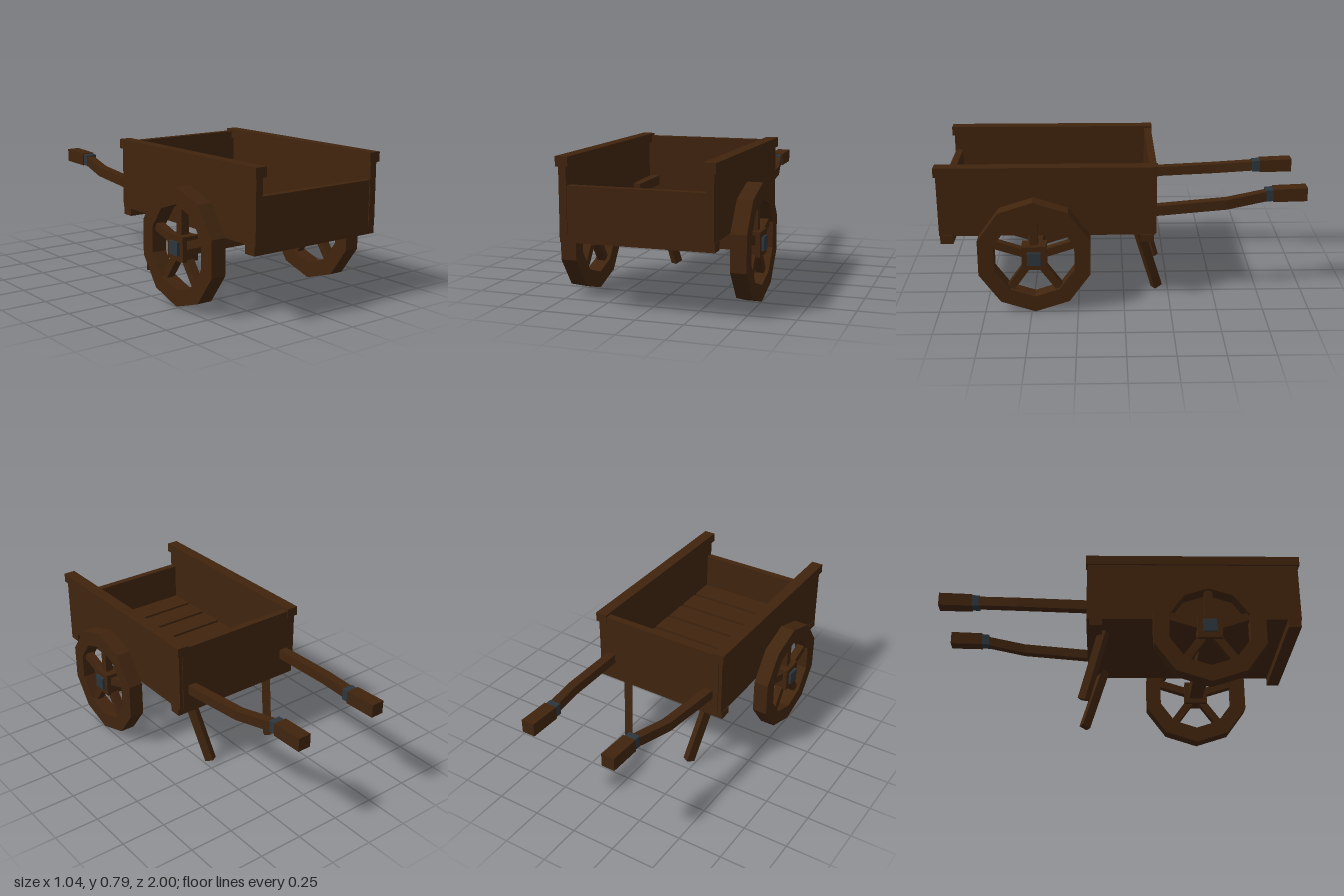
import * as THREE from 'three';

export function createModel() {
  const cart = new THREE.Group();
  cart.name = 'handCart';
  const wood = new THREE.MeshStandardMaterial({ color: 0x40240e, flatShading: true });
  wood.name = 'darkWood';
  const iron = new THREE.MeshStandardMaterial({ color: 0x2b363d, flatShading: true });
  iron.name = 'iron';

  const add = (name, geometry, material = wood, parent = cart) => {
    const mesh = new THREE.Mesh(geometry, material);
    mesh.name = name;
    parent.add(mesh);
    return mesh;
  };
  // Box given by its limits on each axis
  const box = (name, [x0, x1], [y0, y1], [z0, z1], material, parent) => {
    const mesh = add(name, new THREE.BoxGeometry(x1 - x0, y1 - y0, z1 - z0), material, parent);
    mesh.position.set((x0 + x1) / 2, (y0 + y1) / 2, (z0 + z1) / 2);
    return mesh;
  };
  // Straight beam between two points
  const beam = (name, a, b, w, h) => {
    const mesh = add(name, new THREE.BoxGeometry(w, h, a.distanceTo(b)));
    mesh.position.copy(a).add(b).multiplyScalar(0.5);
    mesh.lookAt(b);
    return mesh;
  };
  // Square bar that bends through sections of [x, y, z, width, height], running towards -z
  const bentBar = (name, sections) => {
    const n = sections.length - 1;
    const g = new THREE.BoxGeometry(1, 1, 1, 1, 1, n);
    const p = g.attributes.position;
    for (let i = 0; i < p.count; i++) {
      const [x, y, z, w, h] = sections[Math.round((0.5 - p.getZ(i)) * n)];
      p.setXYZ(i, x + p.getX(i) * w, y + p.getY(i) * h, z);
    }
    g.computeVertexNormals();
    return add(name, g);
  };

  // Bed: base, planks, end boards and cross beams
  box('floor', [-0.38, 0.38], [0.405, 0.425], [-0.16, 0.97]);
  for (let i = 0; i < 7; i++) {
    const z = -0.135 + i * 0.155;
    box('floorPlank', [-0.36, 0.36], [0.42, 0.44], [z + 0.01, z + 0.145]);
  }
  box('frontBoard', [-0.38, 0.38], [0.405, 0.645], [0.945, 0.985]);
  box('backBoard', [-0.38, 0.38], [0.405, 0.777], [-0.175, -0.135]);
  box('frontCrossBeam', [-0.403, 0.403], [0.36, 0.407], [0.915, 0.985]);
  box('backCrossBeam', [-0.403, 0.403], [0.365, 0.407], [-0.16, -0.09]);
  box('axle', [-0.42, 0.42], [0.275, 0.355], [0.44, 0.52]);

  // Ten-sided rim with a hole, points at top and bottom
  const ring = (r) => Array.from({ length: 10 }, (_, i) => {
    const a = Math.PI / 2 + i * Math.PI / 5;
    return new THREE.Vector2(Math.cos(a) * r, Math.sin(a) * r);
  });
  const rimShape = new THREE.Shape(ring(0.314));
  rimShape.holes.push(new THREE.Path(ring(0.225).reverse()));
  const rimGeometry = new THREE.ExtrudeGeometry(rimShape, { depth: 0.085, bevelEnabled: false });
  rimGeometry.translate(0, 0, -0.0425).rotateY(Math.PI / 2);

  for (const s of [1, -1]) {
    const side = s > 0 ? 'left' : 'right';
    const span = (a, b) => (s > 0 ? [a, b] : [-b, -a]);

    // Side wall and top rail
    box(side + 'Side', span(0.36, 0.4), [0.405, 0.75], [-0.17, 0.99]);
    box(side + 'Rail', span(0.345, 0.412), [0.738, 0.79], [-0.18, 1]);

    // Wheel
    const wheel = new THREE.Group();
    wheel.name = side + 'Wheel';
    wheel.position.set(s * 0.4575, 0.315, 0.48);
    cart.add(wheel);
    add('rim', rimGeometry, wood, wheel);
    add('hub', new THREE.BoxGeometry(0.095, 0.132, 0.132), wood, wheel);
    const cap = add('axleCap', new THREE.BoxGeometry(0.06, 0.072, 0.072), iron, wheel);
    cap.position.x = s * 0.031;
    for (let i = 0; i < 5; i++) {
      const spoke = add('spoke', new THREE.BoxGeometry(0.045, 0.2, 0.043).translate(0, 0.14, 0), wood, wheel);
      spoke.rotation.x = i * Math.PI * 0.4;
    }

    // Prop leg, leaning back and inwards
    beam(side + 'Leg', new THREE.Vector3(s * 0.275, 0.388, -0.08),
      new THREE.Vector3(s * 0.21, 0.012, -0.188), 0.042, 0.05);

    // Handle with iron band and grip
    bentBar(side + 'Handle', [
      [s * 0.345, 0.5, 0.12, 0.05, 0.055],
      [s * 0.322, 0.517, -0.17, 0.05, 0.055],
      [s * 0.3, 0.543, -0.56, 0.052, 0.055],
      [s * 0.252, 0.575, -0.8, 0.05, 0.055],
    ]);
    bentBar(side + 'Band', [
      [s * 0.25, 0.574, -0.772, 0.064, 0.064],
      [s * 0.248, 0.578, -0.822, 0.064, 0.064],
    ]);
    cart.children[cart.children.length - 1].material = iron;
    bentBar(side + 'Grip', [
      [s * 0.248, 0.577, -0.815, 0.075, 0.072],
      [s * 0.248, 0.583, -1, 0.075, 0.075],
    ]);
  }
  return cart;
}
